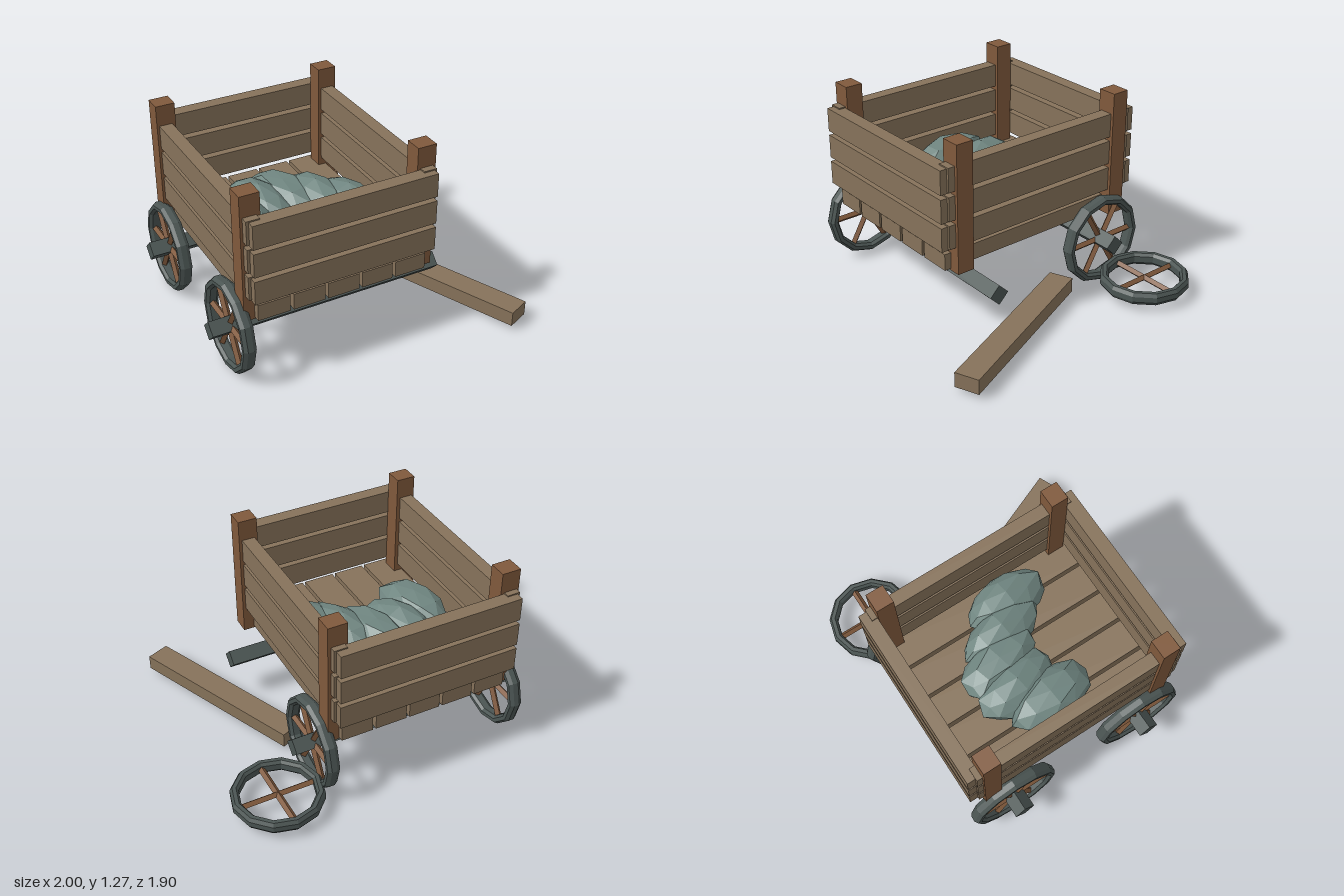
import * as THREE from 'three';

const mat = (color) => new THREE.MeshStandardMaterial({ color, flatShading: true });

export function createModel() {
  const cart = new THREE.Group();
  cart.name = 'brokenCart';
  const plankMat = mat(0x86725a), postMat = mat(0x80593c);
  const ironMat = mat(0x4b5553), stoneMat = mat(0x6f8580);

  const add = (parent, name, geometry, material, x = 0, y = 0, z = 0) => {
    const mesh = new THREE.Mesh(geometry, material);
    mesh.name = name;
    mesh.position.set(x, y, z);
    parent.add(mesh);
    return mesh;
  };
  // Box given by its extents on each axis
  const box = (name, material, [x0, x1], [y0, y1], [z0, z1]) =>
    add(cart, name, new THREE.BoxGeometry(x1 - x0, y1 - y0, z1 - z0), material,
      (x0 + x1) / 2, (y0 + y1) / 2, (z0 + z1) / 2);

  // Floor planks
  for (let i = 0; i < 5; i++) {
    const x = -0.785 + i * 0.228;
    box('floorPlank', plankMat, [x, x + 0.207], [0.46, 0.567], [-0.767, 0.645]);
  }

  // Corner posts
  for (const x of [-0.853, 0.28])
    for (const z of [-0.73, 0.485])
      box('cornerPost', postMat, [x, x + 0.125], [0.447, 1.277], [z, z + 0.115]);

  // Slatted walls
  for (let i = 0; i < 3; i++) {
    const y = 0.612 + i * 0.183;
    for (const z of [-0.82, 0.601])
      box('endBoard', plankMat, [-0.82, 0.37], [y, y + 0.155], [z, z + 0.09]);
    for (const x of [-0.837, 0.3])
      box('sideBoard', plankMat, [x, x + 0.085], [y + 0.008, y + 0.163], [-0.767, 0.645]);
  }

  // Square axles set on edge
  for (const z of [-0.54, 0.41]) {
    const axle = add(cart, 'axle', new THREE.CylinderGeometry(0.067, 0.067, 1.55, 4), ironMat, -0.225, 0.306, z);
    axle.rotation.z = Math.PI / 2;
  }

  // Twelve-sided wheel around its local y axis, with through-going spoke bars
  const makeWheel = (name, radius, bars) => {
    const wheel = new THREE.Group();
    wheel.name = name;
    const inner = radius - 0.055;
    const profile = [
      [inner, -0.022], [inner + 0.015, -0.041], [radius - 0.015, -0.041], [radius, -0.018],
      [radius, 0.018], [radius - 0.015, 0.041], [inner + 0.015, 0.041], [inner, 0.022], [inner, -0.022],
    ].map(([r, y]) => new THREE.Vector2(r, y));
    add(wheel, 'rim', new THREE.LatheGeometry(profile, 12), ironMat);
    for (let i = 0; i < bars; i++) {
      const spoke = add(wheel, 'spokeBar', new THREE.CylinderGeometry(0.022, 0.022, 2 * inner, 4), postMat);
      spoke.rotation.set(Math.PI / 2, (i * Math.PI) / bars, 0, 'YXZ');
    }
    cart.add(wheel);
    return wheel;
  };
  for (const [x, z] of [[-0.865, 0.41], [-0.865, -0.54], [0.415, -0.54]]) {
    const wheel = makeWheel('wheel', 0.3, 3);
    wheel.position.set(x, 0.306, z);
    wheel.rotation.z = Math.PI / 2;
  }
  // Detached wheel lying flat
  makeWheel('fallenWheel', 0.289, 2).position.set(0.708, 0.099, -0.662);

  // Loose plank on the ground
  const loose = add(cart, 'loosePlank', new THREE.BoxGeometry(0.157, 0.098, 1.233), plankMat, 0.643, 0.09, 0.348);
  loose.rotation.y = 0.402;

  // Row of faceted stones, flat underneath
  const jitter = (v, seed) => {
    const s = Math.sin(Math.round(v.x * 50) * 12.9 + Math.round(v.y * 50) * 78.2
      + Math.round(v.z * 50) * 37.7 + seed * 5.3) * 437.5;
    return 0.92 + 0.16 * (s - Math.floor(s));
  };
  const stones = [
    [-0.55, -0.065, 0.17, 0.295, 0.1], [-0.375, -0.19, 0.165, 0.295, 0.2], [-0.2, -0.205, 0.16, 0.295, 0.25],
    [-0.03, -0.08, 0.15, 0.295, 0.15], [0.135, 0.06, 0.165, 0.29, 0.1],
  ];
  stones.forEach(([x, z, rx, rz, yaw], n) => {
    const geometry = new THREE.IcosahedronGeometry(1, 1);
    const p = geometry.attributes.position, v = new THREE.Vector3();
    for (let i = 0; i < p.count; i++) {
      v.fromBufferAttribute(p, i);
      v.multiplyScalar(jitter(v, n));
      p.setXYZ(i, v.x * rx, Math.max(v.y * 0.14, -0.085), v.z * rz);
    }
    geometry.computeVertexNormals();
    add(cart, 'stone', geometry, stoneMat, x, 0.668, z).rotation.y = yaw;
  });

  return cart;
}
